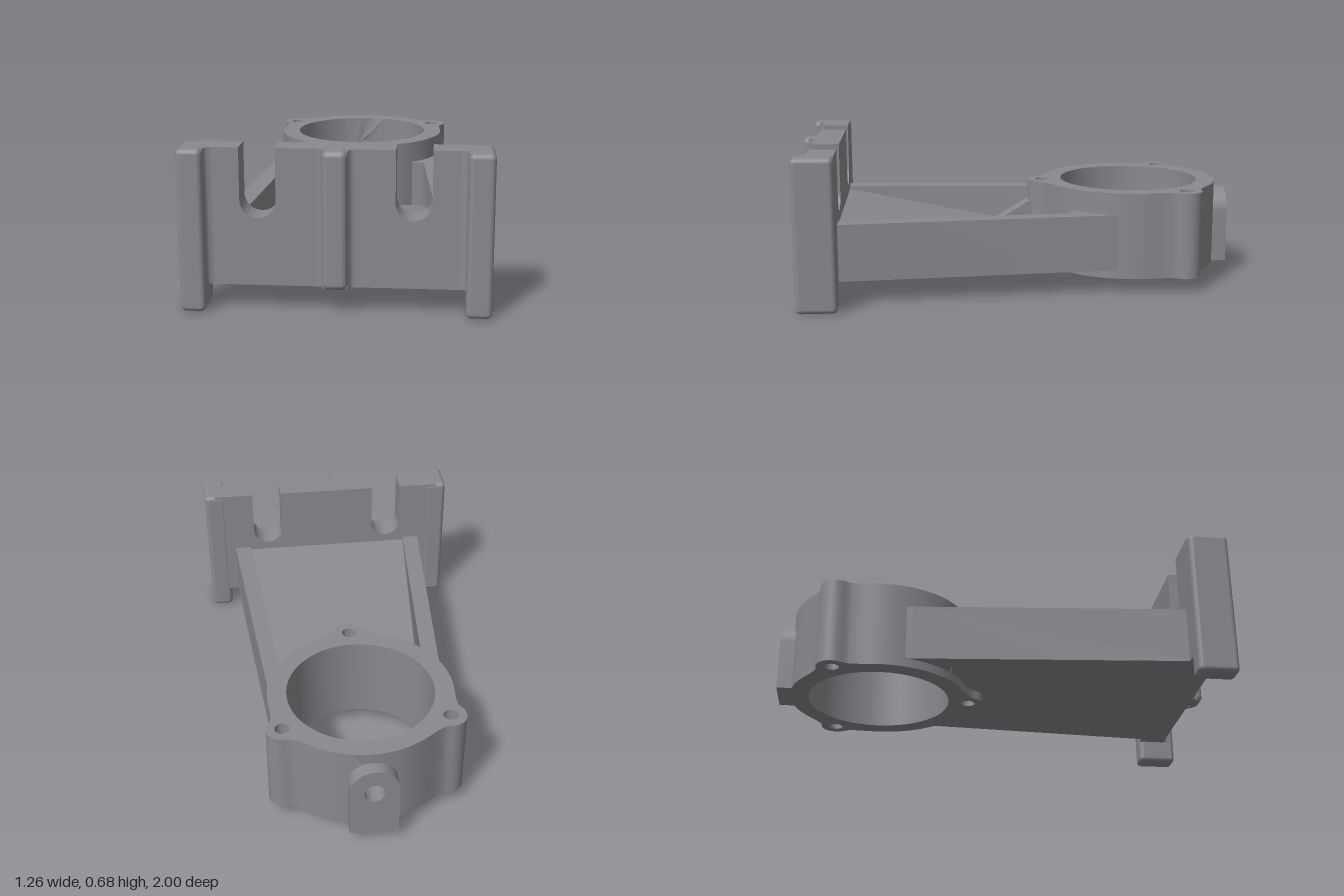
import * as THREE from 'three';
import { toCreasedNormals } from 'three/addons/utils/BufferGeometryUtils.js';
import { RoundedBoxGeometry } from 'three/addons/geometries/RoundedBoxGeometry.js';

const BORE = 0.325, RIM = 0.41, LUG = 0.416, CZ = -0.535; // ring radii and centre

export function createModel() {
  const group = new THREE.Group();
  const metal = new THREE.MeshStandardMaterial({ color: 0x888a8e });
  metal.name = 'cast grey';

  const add = (name, geometry) => {
    const mesh = new THREE.Mesh(geometry, metal);
    mesh.name = name;
    group.add(mesh);
    return mesh;
  };
  const poly = (pts) => new THREE.Shape(pts.map(([x, y]) => new THREE.Vector2(x, y)));
  const circle = (x, y, r) => new THREE.Path().absarc(x, y, r, 0, Math.PI * 2, true);
  // Extrude along z, optionally bend the vertices, and keep edges crisp
  const extrude = (shape, depth, bend) => {
    const g = new THREE.ExtrudeGeometry(shape, { depth, bevelEnabled: false, curveSegments: 24 });
    if (bend) {
      const p = g.attributes.position;
      for (let i = 0; i < p.count; i++) p.setXYZ(i, ...bend(p.getX(i), p.getY(i), p.getZ(i)));
    }
    return toCreasedNormals(g, 0.6);
  };
  // Extrude upwards from a plan outline given as [x, -z]
  const raise = (shape, y0, y1, bend) =>
    extrude(shape, y1 - y0, bend).rotateX(-Math.PI / 2).translate(0, y0, 0);
  const plan = (pts) => poly(pts.map(([x, z]) => [x, -z]));

  // Ring housing with three screw lugs, open at the back for the boss
  const lugAngles = [Math.PI / 6, Math.PI * 5 / 6, Math.PI * 3 / 2];
  const outerRadius = (a) => {
    let r = RIM;
    for (const l of lugAngles) {
      const d = Math.atan2(Math.sin(a - l), Math.cos(a - l));
      const s = 0.07 ** 2 - (LUG * Math.sin(d)) ** 2;
      r = Math.max(r, RIM + 0.05 * Math.exp(-((d / 0.19) ** 2)));
      if (s > 0 && Math.cos(d) > 0) r = Math.max(r, LUG * Math.cos(d) + Math.sqrt(s));
    }
    return r;
  };
  const arc = (half, radius, n) => {
    const pts = [];
    for (let i = 0; i <= n; i++) {
      const a = Math.PI / 2 + half + (i / n) * (2 * Math.PI - 2 * half);
      const r = radius(a);
      pts.push([r * Math.cos(a), r * Math.sin(a) - CZ]);
    }
    return pts;
  };
  const outline = arc(Math.asin(0.105 / RIM), outerRadius, 180);
  const bore = arc(Math.asin(0.105 / BORE), () => BORE, 90).reverse();
  const ring = poly([...outline, ...bore]);
  for (const a of lugAngles) ring.holes.push(circle(LUG * Math.cos(a), LUG * Math.sin(a) - CZ, 0.032));
  add('ringHousing', raise(ring, 0.065, 0.46));

  // Back wall of the ring, bent to both radii, with a cross hole
  const wallPts = [];
  for (let i = 0; i <= 12; i++) wallPts.push([-0.105 + 0.0175 * i, 0.065]);
  for (let i = 12; i >= 0; i--) wallPts.push([-0.105 + 0.0175 * i, 0.46]);
  const wall = poly(wallPts);
  wall.holes.push(circle(0, 0.29, 0.045));
  add('ringBackWall', extrude(wall, 1, (x, y, z) =>
    [x, y, CZ - Math.sqrt((z > 0.5 ? BORE : RIM) ** 2 - x * x)]));

  // Round-topped rear boss
  const bossShape = new THREE.Shape();
  bossShape.moveTo(-0.105, 0.065);
  bossShape.lineTo(0.105, 0.065);
  bossShape.lineTo(0.105, 0.305);
  bossShape.absarc(0, 0.305, 0.105, 0, Math.PI, false);
  bossShape.closePath();
  bossShape.holes.push(circle(0, 0.29, 0.045));
  add('rearBoss', extrude(bossShape, 0.075).translate(0, 0, -1));

  // Tapering side walls of the arm
  const side = [[0.49, 0.83], [0.395, -0.4], [0.395, -0.45], [0.36, -0.45],
    [0.26, -0.25], [0.28, -0.22], [0.315, -0.22], [0.333, -0.195], [0.41, 0.83]];
  for (const s of [1, -1]) {
    add(s > 0 ? 'leftArmWall' : 'rightArmWall',
      raise(plan(side.map(([x, z]) => [s * x, z])), 0.105, 0.36));
  }

  // Arm floor: flat beneath, ramping up to the flange
  const half = [[0.42, 0.83], [0.345, -0.215], [0.24, -0.215], [0.1, -0.14], [0.04, -0.08]];
  const floor = [...half, ...half.map(([x, z]) => [-x, z]).reverse()];
  const ramp = (z) => 0.145 + 0.2 * (z + 0.2) / 1.02;
  add('armFloor', raise(plan(floor), 0.105, 1.105, (x, y, h) =>
    [x, y, h > 0.5 ? ramp(-y) - 0.105 : 0]));

  // Gusset between front lug and floor
  const gusset = poly([[0.08, 0.12], [0.08, 0.37], [0.05, 0.36], [-0.2, 0.21], [-0.2, 0.12]]);
  add('gusset', extrude(gusset, 0.09).rotateY(Math.PI / 2).translate(-0.045, 0, 0));

  // Slotted mounting flange
  const flange = new THREE.Shape();
  flange.moveTo(-0.58, 0.105);
  flange.lineTo(0.58, 0.105);
  flange.lineTo(0.58, 0.675);
  for (const cx of [0.3125, -0.3125]) {
    flange.lineTo(cx + 0.073, 0.675);
    flange.lineTo(cx + 0.073, 0.46);
    flange.absarc(cx, 0.46, 0.073, 0, Math.PI, true);
    flange.lineTo(cx - 0.073, 0.675);
  }
  flange.lineTo(-0.58, 0.675);
  flange.closePath();
  add('mountingFlange', extrude(flange, 0.122).translate(0, 0, 0.822));

  // End posts and centre rib standing proud of the flange
  for (const s of [1, -1]) {
    add(s > 0 ? 'leftPost' : 'rightPost', new RoundedBoxGeometry(0.105, 0.675, 0.18, 4, 0.022))
      .position.set(s * 0.5775, 0.3375, 0.91);
  }
  add('centreRib', new RoundedBoxGeometry(0.1, 0.57, 0.12, 4, 0.025)).position.set(0, 0.39, 0.94);

  // Concave fillets where the posts and rib meet the flange
  const fillet = (x, dir) => {
    const pts = [[x - dir * 0.01, 0.935], [x - dir * 0.01, 0.974]];
    for (let i = 0; i <= 6; i++) {
      const a = (i / 6) * Math.PI / 2;
      pts.push([x + dir * 0.03 * (1 - Math.cos(a)), 0.974 - 0.03 * Math.sin(a)]);
    }
    pts.push([x + dir * 0.03, 0.935]);
    add('fillet', raise(plan(pts), 0.107, 0.673));
  };
  for (const s of [1, -1]) {
    fillet(s * 0.05, s);
    fillet(s * 0.525, -s);
  }
  return group;
}
